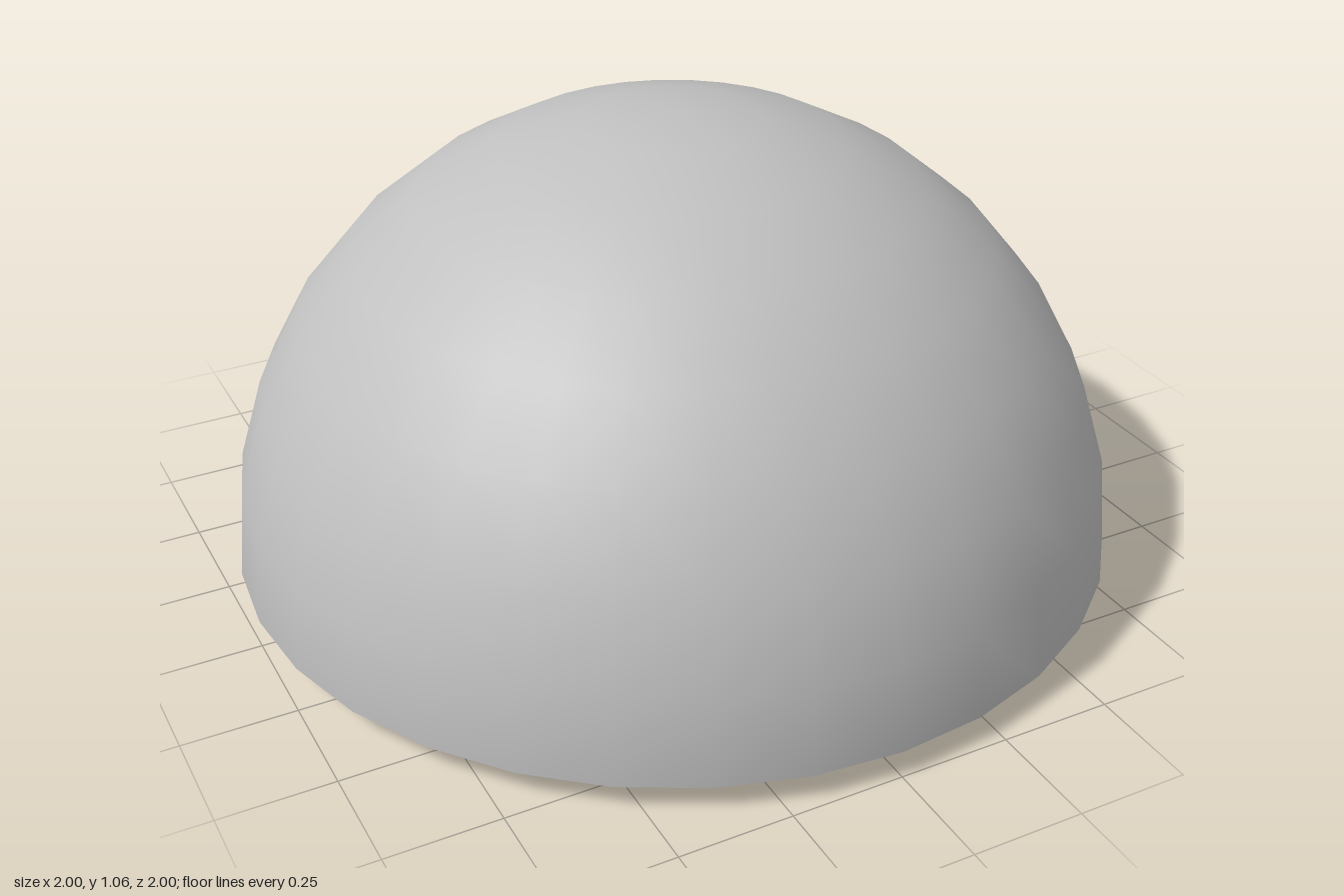
import * as THREE from 'three';

const grey = new THREE.MeshStandardMaterial({ color: 0xc0c0c0 });
grey.name = 'light grey';
grey.side = THREE.DoubleSide;
const black = new THREE.MeshStandardMaterial({ color: 0x0c0c0c });
black.name = 'black';

const RIM = 0.063; // height of the dome's open rim
const SIDES = 10;

export function createModel() {
  const model = new THREE.Group();
  model.name = 'domeUnit';

  const add = (name, geometry, material, y = 0) => {
    const mesh = new THREE.Mesh(geometry, material);
    mesh.name = name;
    mesh.position.y = y;
    model.add(mesh);
    return mesh;
  };

  // Faceted copy of a geometry
  const faceted = (geometry) => {
    const flat = geometry.toNonIndexed();
    flat.computeVertexNormals();
    return flat;
  };

  // Ten-sided drum between two heights
  const drum = (r, y0, y1) =>
    faceted(new THREE.CylinderGeometry(r, r, y1 - y0, SIDES).translate(0, (y0 + y1) / 2, 0));

  // Square-section ring between two heights
  const ring = (outer, inner, y0, y1, sides) => faceted(new THREE.LatheGeometry(
    [[outer, y0], [outer, y1], [inner, y1], [inner, y0], [outer, y0]]
      .map(([x, y]) => new THREE.Vector2(x, y)), sides));

  // Open hemispherical shell
  add('domeShell', new THREE.SphereGeometry(1, 32, 8, 0, Math.PI * 2, 0, Math.PI / 2), grey, RIM);

  // Inner drum with its dark base
  add('innerDrum', drum(0.44, 0.1, 0.305), grey);
  add('drumBase', drum(0.43, 0.085, 0.0995), black);

  // Square plate closing the underside of the drum
  add('basePlate', new THREE.PlaneGeometry(0.83, 0.83).rotateX(Math.PI / 2), grey, 0.069);

  // Ring and small boss under the plate
  add('blackRing', ring(0.22, 0.18, 0.02, 0.068, SIDES), black);
  add('centreBoss', ring(0.066, 0.045, 0.062, 0.068, 16), grey);

  // Upright side panels, each given by the ends of its footprint
  const panels = {
    leftPanel: [[0.63, 0.322], [0.417, -0.325]],
    rightPanel: [[-0.566, 0.343], [-0.551, -0.343]],
  };
  for (const [name, [[x0, z0], [x1, z1]]] of Object.entries(panels)) {
    const panel = add(name, new THREE.PlaneGeometry(Math.hypot(x1 - x0, z1 - z0), 0.5), grey);
    panel.position.set((x0 + x1) / 2, 0.25, (z0 + z1) / 2);
    panel.rotation.y = Math.atan2(z0 - z1, x1 - x0);
  }

  return model;
}
